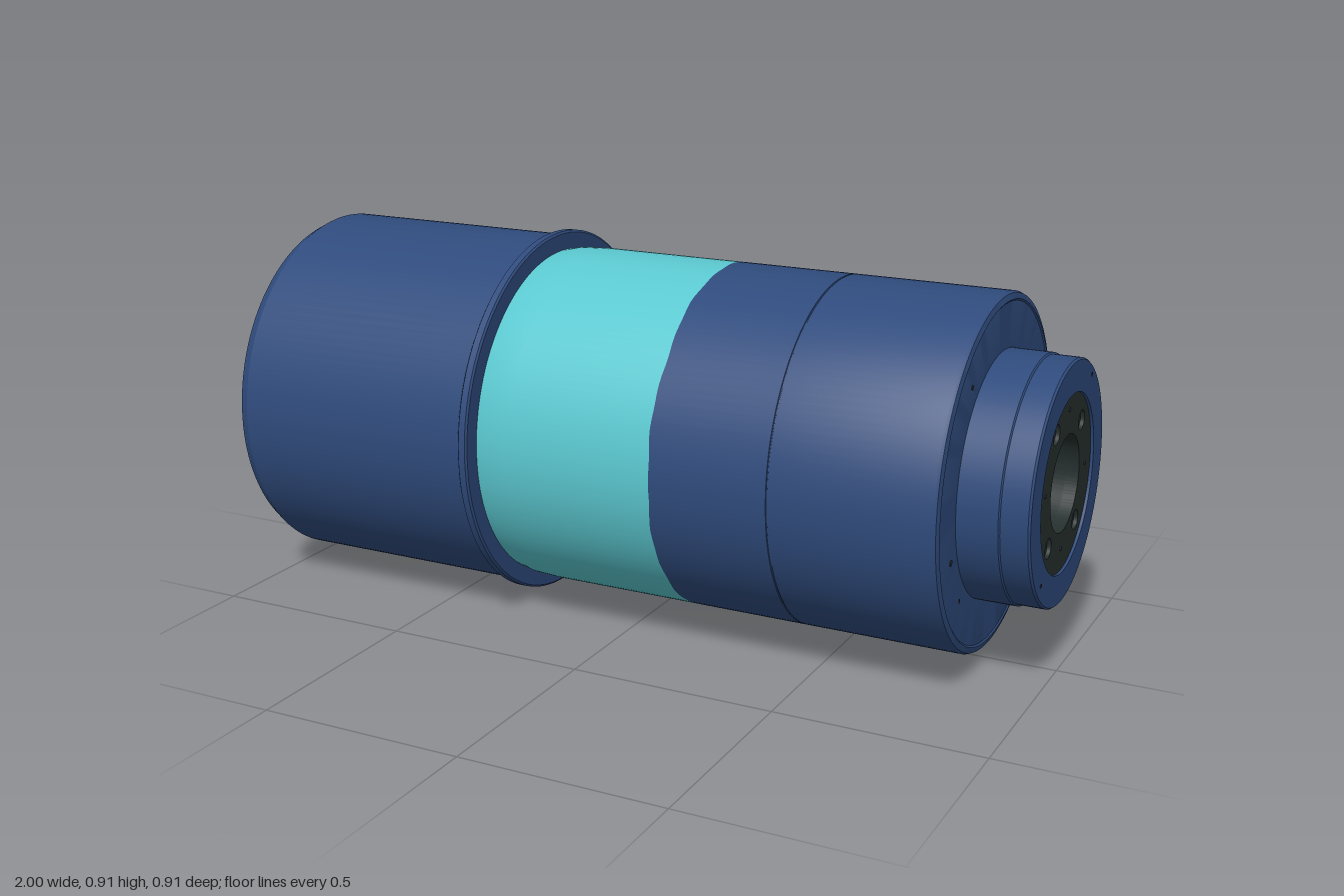
import * as THREE from 'three';
import { toCreasedNormals } from 'three/addons/utils/BufferGeometryUtils.js';

const CY = 0.457; // height of the long axis
const SEG = 128;

export function createModel() {
  const root = new THREE.Group();
  root.name = 'cylinderUnit';
  // everything inside is built round local y, which lies along world x
  const axis = new THREE.Group();
  axis.name = 'axis';
  axis.rotation.z = -Math.PI / 2;
  axis.position.y = CY;
  root.add(axis);

  const material = (name, color) => {
    const m = new THREE.MeshStandardMaterial({ color });
    m.name = name;
    return m;
  };
  const blue = material('navy blue', 0x2f4b7c);
  const teal = material('turquoise', 0x5bc8d0);
  const dark = material('dark metal', 0x25302e);
  const slate = material('slate', 0x2d3b48);

  const add = (name, geometry, mat) => {
    const mesh = new THREE.Mesh(geometry, mat);
    mesh.name = name;
    axis.add(mesh);
    return mesh;
  };
  // profile points are [radius, position along the axis]
  const lathe = (points) =>
    new THREE.LatheGeometry(points.map(([r, y]) => new THREE.Vector2(r, y)), SEG);
  const turned = (name, points, mat) =>
    add(name, toCreasedNormals(lathe(points), 0.45), mat);

  // wide rear housing with chamfered end and a thin flange
  turned('rearHousing', [
    [0.38, -0.995], [0.38, -1], [0.418, -1], [0.428, -0.993], [0.443, -0.965],
    [0.443, -0.335], [0.452, -0.335], [0.457, -0.331], [0.457, -0.314],
    [0.452, -0.31], [0.40, -0.31],
  ], blue);
  turned('rearCover', [[0.114, -0.995], [0.38, -0.995]], slate);

  // uneven border between the turquoise band and the front barrel
  const EDGE = 0.155;
  const border = (a) => {
    const back = THREE.MathUtils.smoothstep(-a, 0.2, 0.55);
    const under = THREE.MathUtils.smoothstep(a, 2.5, 2.75);
    return 0.151 + 0.024 * Math.max(back, under)
      + 0.002 * Math.sin(9 * a) + 0.0012 * Math.sin(23 * a);
  };
  const shiftBorder = (geometry) => {
    const p = geometry.attributes.position;
    for (let i = 0; i < p.count; i++) {
      if (Math.abs(p.getY(i) - EDGE) < 1e-5) {
        p.setY(i, border(Math.atan2(p.getZ(i), -p.getX(i))));
      }
    }
    return toCreasedNormals(geometry, 0.45);
  };
  add('turquoiseBand', shiftBorder(lathe([
    [0.411, -0.31], [0.417, -0.28], [0.42, -0.22], [0.42, EDGE],
  ])), teal);
  add('frontBarrel', shiftBorder(lathe([
    [0.42, EDGE], [0.42, 0.442], [0.418, 0.443], [0.418, 0.445], [0.42, 0.446],
    [0.42, 0.825], [0.416, 0.834], [0.402, 0.838], [0.398, 0.835], [0.28, 0.835],
  ])), blue);

  // stepped front collar
  turned('frontCollar', [
    [0.291, 0.83], [0.291, 0.93], [0.287, 0.933], [0.287, 0.995],
    [0.283, 1], [0.21, 1], [0.21, 0.96],
  ], blue);

  // through bore, facing inward
  turned('bore', [[0.114, 0.993], [0.114, -0.995]], dark);

  // ring plate in the collar with four round sockets
  const sockets = [[0.095, 0.597], [-0.11, 0.577], [0.11, 0.337], [-0.107, 0.337]];
  const ring = new THREE.Shape().absarc(0, 0, 0.21, 0, Math.PI * 2, false);
  const holes = [[0, 0, 0.114], ...sockets.map(([z, y]) => [-z, y - CY, 0.024])];
  for (const [u, v, r] of holes) {
    ring.holes.push(new THREE.Path().absarc(u, v, r, 0, Math.PI * 2, true));
  }
  const plate = new THREE.ExtrudeGeometry(ring, {
    depth: 0.03, bevelEnabled: false, curveSegments: 48,
  });
  const plateMesh = new THREE.Mesh(plate, dark);
  plateMesh.name = 'frontPlate';
  plateMesh.rotation.y = Math.PI / 2;
  plateMesh.position.set(0.963, CY, 0);
  root.add(plateMesh);

  // small discs on the end faces: world z, world y, radius, world x
  const disc = (name, z, y, r, x, mat) => {
    const mesh = new THREE.Mesh(new THREE.CylinderGeometry(r, r, 0.004, 20), mat);
    mesh.name = name;
    mesh.rotation.z = -Math.PI / 2;
    mesh.position.set(x, y, z);
    root.add(mesh);
  };
  for (const [z, y] of sockets) disc('socketScrew', z, y, 0.0235, 0.982, dark);
  for (const [z, y] of [[0, 0.63], [0.16, 0.475], [-0.16, 0.46], [0.005, 0.302]]) {
    disc('platePin', z, y, 0.005, 0.993, slate);
  }
  for (const [z, y] of [[-0.148, 0.677], [0.178, 0.273]]) {
    disc('collarPin', z, y, 0.005, 0.999, dark);
  }
  for (const [z, y, r] of [[0.31, 0.343, 0.008], [-0.307, 0.36, 0.008],
    [0.215, 0.715, 0.006], [-0.2, 0.18, 0.006], [0.24, 0.23, 0.005]]) {
    disc('barrelPin', z, y, r, 0.834, dark);
  }
  return root;
}
